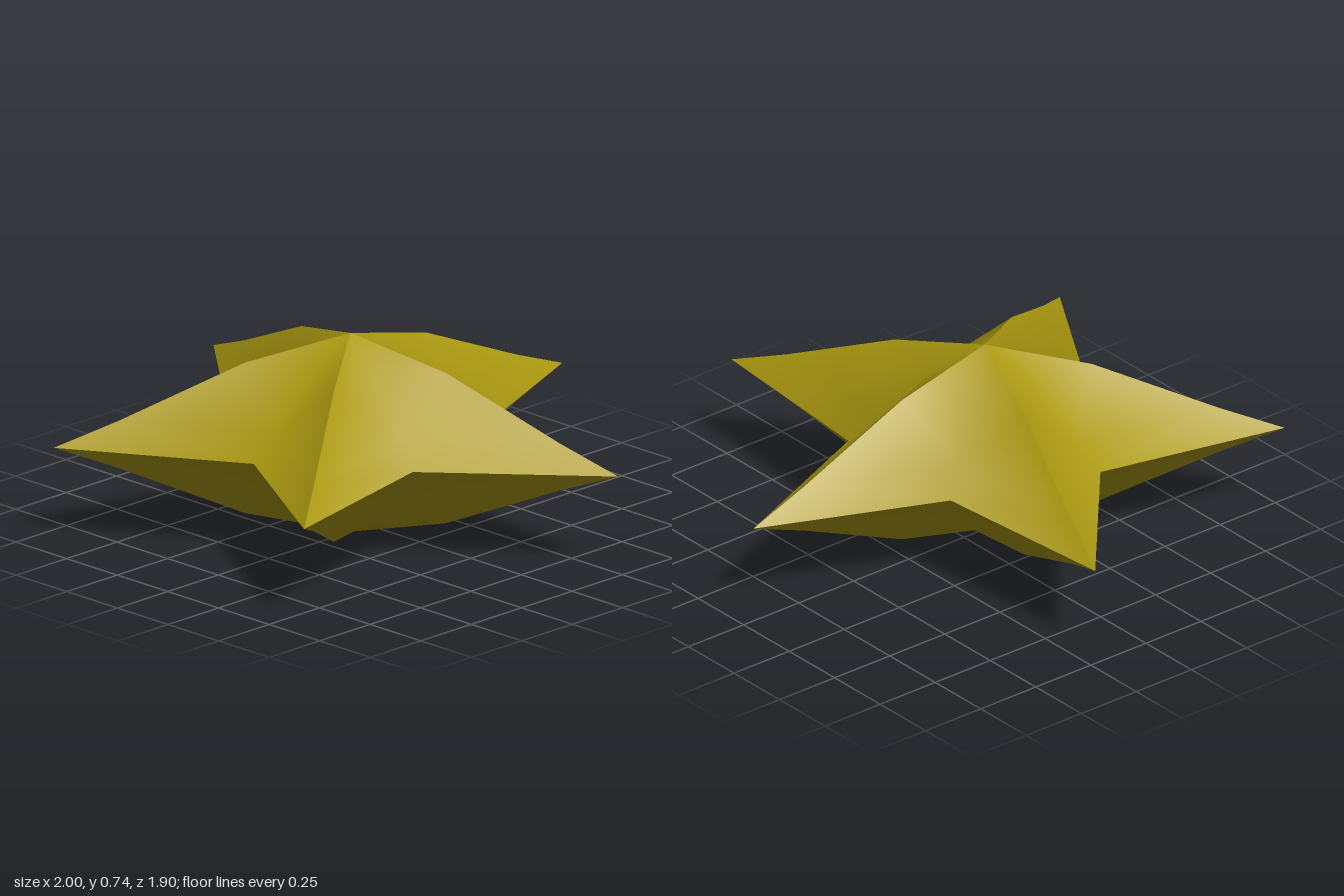
import * as THREE from 'three';
import { mergeGeometries } from 'three/addons/utils/BufferGeometryUtils.js';

const TIP = 1.051, NOTCH = 0.479, MID = 0.368, CENTRE_Z = 0.095;
// nested star outlines: [scale, height above the rim]
const RINGS = [[0.357, 0.278], [0.78, 0.088], [1, 0]];

// One tip-to-tip sector of a half: smooth inside, sharp at its ridges and rim
function sector(index, side) {
  const positions = [0, MID + side * MID, CENTRE_Z];
  const faces = [];
  const face = (a, b, c) => faces.push(...(side > 0 ? [a, b, c] : [a, c, b]));
  RINGS.forEach(([scale, height], k) => {
    for (let j = 0; j < 3; j++) {
      const angle = (index * 2 + j) * Math.PI / 5;
      const r = scale * (j === 1 ? NOTCH : TIP);
      positions.push(r * Math.sin(angle), MID + side * height, CENTRE_Z - r * Math.cos(angle));
    }
    for (let j = 0; j < 2; j++) {
      const outer = 1 + k * 3 + j, inner = outer - 3;
      if (k === 0) {
        face(0, outer + 1, outer);
      } else {
        // split each quad symmetrically about the valley
        if (j === 0) {
          face(inner, inner + 1, outer + 1);
          face(inner, outer + 1, outer);
        } else {
          face(inner, inner + 1, outer);
          face(inner + 1, outer + 1, outer);
        }
      }
    }
  });
  const geometry = new THREE.BufferGeometry();
  geometry.setAttribute('position', new THREE.Float32BufferAttribute(positions, 3));
  geometry.setIndex(faces);
  geometry.computeVertexNormals();
  return geometry;
}

export function createModel() {
  const group = new THREE.Group();
  group.name = 'star';
  const gold = new THREE.MeshStandardMaterial({ color: 0xab9910 });
  gold.name = 'dark gold';
  // Upper and lower halves
  for (const [name, side] of [['upperHalf', 1], ['lowerHalf', -1]]) {
    const sectors = [0, 1, 2, 3, 4].map((i) => sector(i, side));
    const mesh = new THREE.Mesh(mergeGeometries(sectors), gold);
    mesh.name = name;
    group.add(mesh);
  }
  return group;
}
